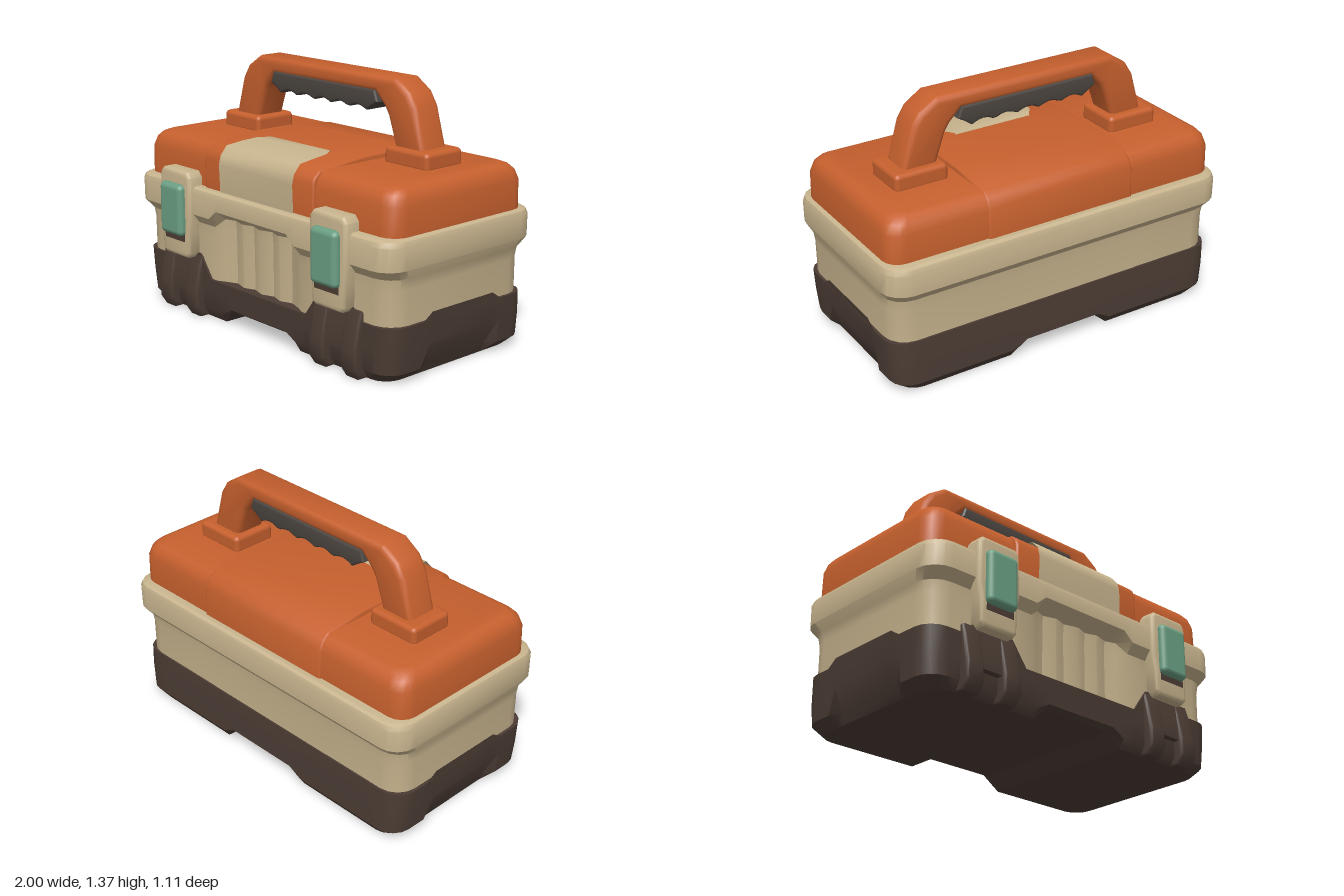
import * as THREE from 'three';
import { toCreasedNormals } from 'three/addons/utils/BufferGeometryUtils.js';
import { RoundedBoxGeometry } from 'three/addons/geometries/RoundedBoxGeometry.js';

const material = (name, color, side = THREE.FrontSide) => {
  const m = new THREE.MeshStandardMaterial({ color, side });
  m.name = name;
  return m;
};

// Ring of [x, z] points: rounded rectangle plus extra points along its edges
function ring(X, zBack, zFront, c, xs, zs) {
  const half = (zEdge, s) => {
    const right = zs.filter(z => z * s > 0).sort((a, b) => s * (a - b)).map(z => [X, z]);
    for (let i = 0; i <= 4; i++) {
      const a = (i / 4) * Math.PI / 2;
      right.push([X - c + c * Math.cos(a), zEdge - s * c * (1 - Math.sin(a))]);
    }
    xs.forEach(x => right.push([x, zEdge]));
    const left = right.map(([x, z]) => [-x, z]).reverse();
    return [...right, ...(xs.includes(0) ? left.slice(1) : left)];
  };
  return [...half(zFront, 1), ...half(zBack, -1).reverse()];
}

// Closed loft through levels [y, halfWidth, zBack, zFront, corner]
function loft(levels, { xs = [], zs = [], warp = p => p, crease = 0.5 } = {}) {
  const pos = [], index = [];
  let n = 0;
  levels.forEach(([y, X, zb, zf, c], k) => {
    const pts = ring(X, zb, zf, c, xs, zs);
    n = pts.length;
    pts.forEach(([x, z]) => pos.push(...warp([x, y, z], k)));
  });
  for (let k = 0; k < levels.length - 1; k++) {
    for (let i = 0; i < n; i++) {
      const j = (i + 1) % n, a = k * n, b = a + n;
      index.push(a + j, a + i, b + i, a + j, b + i, b + j);
    }
  }
  const t = (levels.length - 1) * n;
  for (let i = 0; i < n / 2 - 1; i++) {
    const p = n - 1 - i, q = n - 2 - i;
    index.push(t + i, t + p, t + q, t + i, t + q, t + i + 1);
    index.push(i, q, p, i, i + 1, q);
  }
  const g = new THREE.BufferGeometry();
  g.setAttribute('position', new THREE.Float32BufferAttribute(pos, 3));
  g.setIndex(index);
  return toCreasedNormals(g, crease);
}

// Bevelled extrusion of an outline, centred in depth
function slab(points, depth, bevel) {
  const shape = new THREE.Shape(points.map(p => new THREE.Vector2(...p)));
  const g = new THREE.ExtrudeGeometry(shape, {
    depth: depth - 2 * bevel, bevelEnabled: bevel > 0, bevelThickness: bevel,
    bevelSize: bevel, bevelOffset: -bevel, bevelSegments: 3,
  });
  g.translate(0, 0, bevel - depth / 2);
  return toCreasedNormals(g, 0.7);
}

// Extrusion of a [z, y] profile across x
const across = (profile, width, bevel) => slab(profile, width, bevel).rotateY(-Math.PI / 2);

const mirrored = pts => [...pts, ...pts.map(([x, y]) => [-x, y]).reverse()];

export function createModel() {
  const orange = material('orange plastic', 0xc6602e);
  const beige = material('beige plastic', 0xc8b48e);
  const brown = material('dark brown base', 0x4b3c34);
  const green = material('green latch', 0x6b9f83);
  const grey = material('dark rubber', 0x4b4540);
  const beigeSheet = material('beige panel', 0xc8b48e, THREE.DoubleSide);

  const model = new THREE.Group();
  const add = (name, geometry, mat, x = 0, y = 0, z = 0, parent = model) => {
    const m = new THREE.Mesh(geometry, mat);
    m.name = name;
    m.position.set(x, y, z);
    parent.add(m);
    return m;
  };

  // Base: stepped upper edge, arched underside and recessed end grips
  add('base', loft([
    [0.01, 0.91, -0.49, 0.42, 0.1],
    [0.06, 0.965, -0.525, 0.45, 0.11],
    [0.18, 0.977, -0.522, 0.456, 0.11],
    [0.3, 0.983, -0.514, 0.46, 0.11],
  ], {
    xs: [0.77, 0.72, 0.47, 0.38, 0.3, 0.22],
    zs: [0.18, 0.24, -0.25, -0.31],
    warp: ([x, y, z], k) => {
      const ax = Math.abs(x), end = ax > 0.9 && z < 0.2 && z > -0.28;
      if (k === 0 && ax < 0.25) y = 0.08;
      if (k === 1 && ax < 0.25) y = 0.1;
      if (k === 1 && end) x -= Math.sign(x) * 0.035;
      if (k === 3) {
        if (end) y = 0.34;
        else if (z > 0.4 && ax < 0.4) y = 0.235;
        else if (z > 0.4 && ax < 0.75) y = 0.36;
      }
      return [x, y, z];
    },
  }), brown);

  // Body with swelling rim and fluted front recess
  add('body', loft([
    [0.2, 0.965, -0.505, 0.445, 0.12],
    [0.24, 0.967, -0.505, 0.447, 0.12],
    [0.48, 0.968, -0.505, 0.45, 0.12],
    [0.535, 0.975, -0.512, 0.456, 0.12],
    [0.585, 1.0, -0.553, 0.498, 0.12],
    [0.7, 1.0, -0.555, 0.5, 0.12],
    [0.725, 0.99, -0.546, 0.491, 0.115],
    [0.735, 0.97, -0.53, 0.475, 0.11],
  ], {
    xs: [0.46, 0.34, 0.28, 0.22, 0.15, 0.14, 0.075, 0.01, 0],
    warp: ([x, y, z], k) => {
      const ax = Math.abs(x);
      if (z > 0.4 && ax < 0.3) {
        if (k < 4) {
          const flute = [0.22, 0.075].some(c => Math.abs(ax - c) < 0.01);
          z -= flute ? 0.045 : 0.025;
        }
        if (k > 1 && k < 5) y += 0.05;
      }
      return [x, y, z];
    },
  }), beige);

  // Lid with a raised centre band
  add('lid', loft([
    [0.72, 0.97, -0.495, 0.435, 0.09],
    [0.88, 0.968, -0.493, 0.432, 0.09],
    [0.93, 0.952, -0.476, 0.415, 0.085],
    [0.955, 0.93, -0.452, 0.392, 0.08],
    [0.968, 0.9, -0.42, 0.36, 0.07],
  ], { crease: 0.7 }), orange);
  add('lidBand', across([
    [0.448, 0.72], [0.448, 0.9], [0.435, 0.935], [0.4, 0.965], [0.2, 0.985], [0.1, 0.995],
    [-0.2, 0.995], [-0.44, 0.968], [-0.475, 0.94], [-0.5, 0.89], [-0.507, 0.72],
  ], 0.86, 0.012), orange);

  // Folded front panel on the lid: rows of [z, y, halfWidth]
  const rows = [
    [0.456, 0.73, 0.29], [0.462, 0.88, 0.29], [0.45, 0.93, 0.29], [0.408, 0.978, 0.29],
    [0.3, 0.99, 0.285], [0.22, 0.996, 0.275], [0.155, 0.998, 0.23], [0.15, 0.98, 0.23],
  ];
  const panel = new THREE.PlaneGeometry(1, 1, 1, rows.length - 1);
  rows.forEach(([z, y, w], i) => {
    const r = rows.length - 1 - i;
    panel.attributes.position.setXYZ(2 * r, -w, y, z);
    panel.attributes.position.setXYZ(2 * r + 1, w, y, z);
  });
  panel.computeVertexNormals();
  add('lidPanel', panel, beigeSheet);

  // Carrying handle
  const handle = new THREE.Group();
  handle.name = 'handle';
  handle.position.z = -0.092;
  model.add(handle);
  add('handleArch', slab(mirrored([
    [-0.725, 1.02], [-0.66, 1.25], [-0.615, 1.32], [-0.52, 1.382],
  ]).concat(mirrored([
    [0.535, 1.02], [0.475, 1.19], [0.45, 1.23], [0.385, 1.295],
  ])), 0.184, 0.03), orange, 0, 0, 0, handle);

  // Rubber grip with finger scallops
  const grip = [[0.39, 1.31], [-0.39, 1.31], [-0.41, 1.25], [-0.37, 1.228]];
  for (let i = 0; i <= 32; i++) {
    const t = i / 32;
    grip.push([-0.33 + 0.66 * t, 1.2 + 0.02 * Math.abs(Math.sin(t * Math.PI * 5))]);
  }
  grip.push([0.37, 1.228], [0.41, 1.25]);
  add('handleGrip', slab(grip, 0.198, 0.012), grey, 0, 0, 0, handle);

  // Bumper profiles in [z, y]
  const rib = [[0.4, 0.008], [0.47, 0.008], [0.505, 0.06], [0.505, 0.15], [0.478, 0.29], [0.46, 0.35], [0.4, 0.35]];
  const bridge = [[0.4, 0.13], [0.485, 0.14], [0.487, 0.18], [0.472, 0.29], [0.46, 0.355], [0.4, 0.355]];

  for (const s of [-1, 1]) {
    const side = s > 0 ? 'left' : 'right';
    add(side + 'HandleMount', new RoundedBoxGeometry(0.296, 0.1, 0.258, 3, 0.025), orange, s * 0.637, 1.0, -0.097);

    // Latch: backing plate, slot and coloured lever
    const latch = new THREE.Group();
    latch.name = side + 'Latch';
    latch.position.x = s * 0.607;
    model.add(latch);
    add('latchPlate', slab(mirrored([
      [-0.095, 0.335], [-0.115, 0.36], [-0.118, 0.48], [-0.134, 0.56],
      [-0.13, 0.78], [-0.105, 0.81],
    ].reverse()), 0.12, 0.022), beige, 0, 0, 0.462, latch);
    add('latchSlot', new THREE.BoxGeometry(0.17, 0.04, 0.008), brown, 0, 0.445, 0.521, latch);
    add('latchLever', new RoundedBoxGeometry(0.186, 0.285, 0.08, 3, 0.03), green, 0, 0.598, 0.518, latch);

    // Foot bumper under the latch
    for (const dx of [-0.115, 0.115]) {
      add(side + 'BumperRib', across(rib, 0.105, 0.015), brown, s * 0.62 + dx, 0, 0);
    }
    add(side + 'BumperBridge', across(bridge, 0.16, 0), brown, s * 0.62, 0, 0);
  }
  return model;
}
